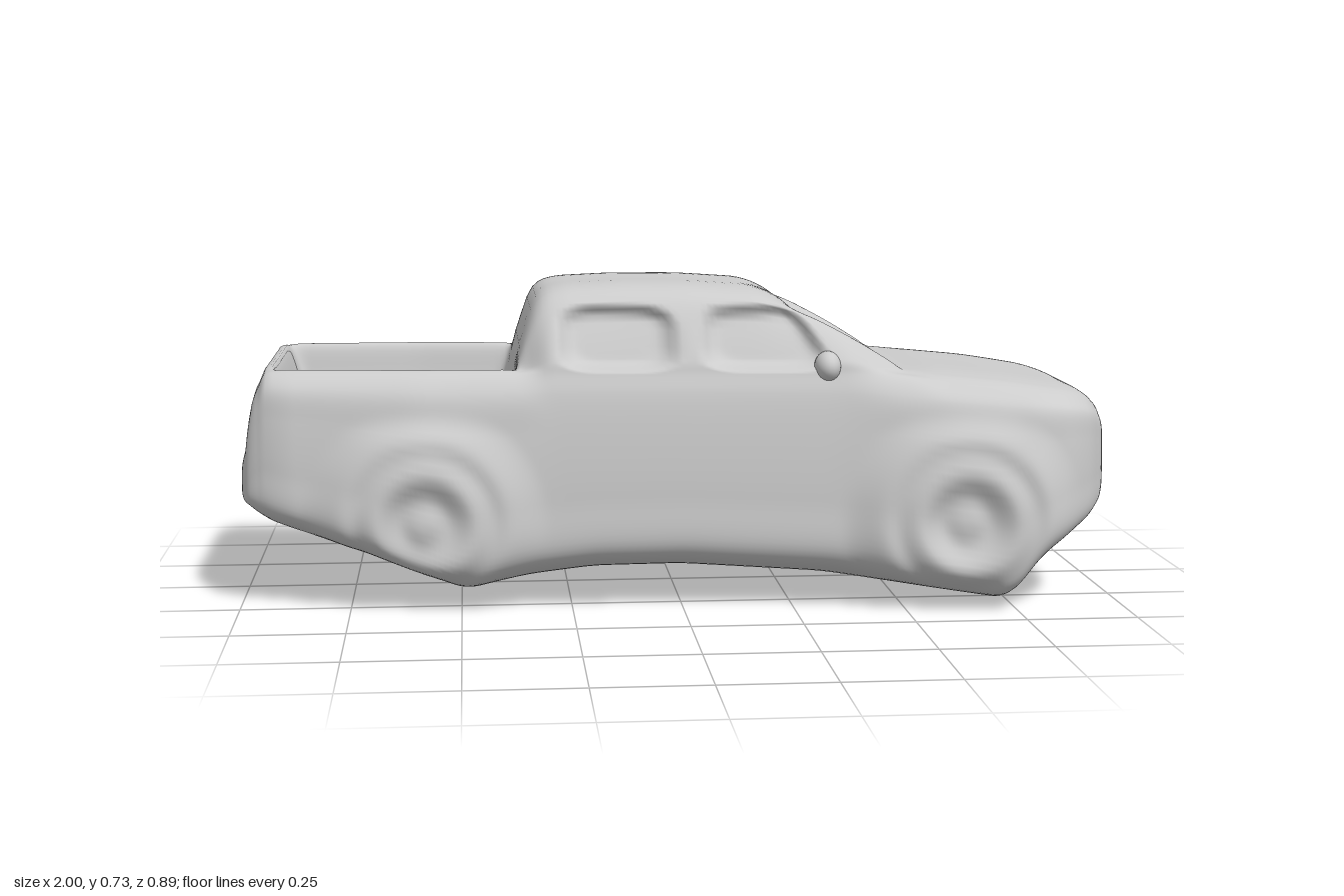
import * as THREE from 'three';

const { smoothstep, lerp } = THREE.MathUtils;
const SKEW = 0.065; // the truck sits slightly turned: z drifts with x

// Lengthwise profile through a few [x, value] points, with softened corners
function profile(points) {
  const linear = x => {
    const k = points.findIndex(p => p[0] >= x);
    if (k < 0) return points[points.length - 1][1];
    if (k === 0) return points[0][1];
    const [x0, v0] = points[k - 1], [x1, v1] = points[k];
    return lerp(v0, v1, (x - x0) / (x1 - x0));
  };
  return x => {
    const r = Math.min(0.03, 0.6 * (1 - Math.abs(x)));
    let sum = 0;
    for (let i = -4; i <= 4; i++) sum += linear(x + r * i / 4);
    return sum / 9;
  };
}

const bottom = profile([[-1, 0.27], [-0.995, 0.235], [-0.95, 0.185], [-0.7, 0.1], [-0.49, 0.018],
  [-0.35, 0.05], [-0.2, 0.07], [0, 0.075], [0.32, 0.055], [0.74, -0.008], [0.8, 0.09],
  [0.95, 0.185], [0.985, 0.225], [1, 0.3]]);
const belt = profile([[-1, 0.27], [-0.995, 0.32], [-0.975, 0.38], [-0.968, 0.5], [-0.95, 0.53],
  [0.4, 0.53], [0.73, 0.5], [0.88, 0.477], [0.95, 0.45], [0.975, 0.42], [0.99, 0.37], [1, 0.3]]);
const halfWidth = profile([[-1, 0], [-0.998, 0.22], [-0.99, 0.275], [-0.97, 0.31], [-0.9, 0.342],
  [-0.6, 0.365], [-0.3, 0.35], [0.35, 0.35], [0.6, 0.365], [0.8, 0.365], [0.88, 0.34],
  [0.95, 0.267], [0.985, 0.175], [0.997, 0.09], [1, 0]]);
// Cab roof along its edge, and along the middle where the windscreen is hollow
const roofEdge = profile([[-1, 0], [-0.38, 0.5], [-0.35, 0.61], [-0.325, 0.655], [-0.28, 0.675],
  [0, 0.685], [0.18, 0.68], [0.3, 0.65], [0.4, 0.597], [0.5, 0.535], [1, 0]]);
const roofCentre = profile([[-1, 0], [-0.375, 0.5], [-0.355, 0.64], [-0.33, 0.695], [-0.28, 0.715],
  [-0.14, 0.722], [0.02, 0.722], [0.18, 0.712], [0.25, 0.68], [0.32, 0.595], [0.4, 0.53], [1, 0]]);

// Closed smooth section at x: belly, side, shoulder, then roof, bonnet or bed floor
function section(x) {
  const yb = bottom(x), b = belt(x), w = halfWidth(x), h = b - yb;
  const cab = smoothstep(x, -0.37, -0.29) * (1 - smoothstep(x, 0.35, 0.52));
  const bed = smoothstep(x, -0.925, -0.865) * (1 - smoothstep(x, -0.41, -0.365));
  const bonnet = smoothstep(x, 0.5, 0.6);
  const deck = b + 0.01 * smoothstep(1 - Math.abs(x), 0, 0.03);
  const upperY = Math.max(deck, roofEdge(x)) - 0.11 * bed;
  const centreY = Math.max(deck, roofCentre(x)) + 0.006 * bonnet * smoothstep(1 - x, 0, 0.1) - 0.14 * bed;
  const shoulderZ = w * (0.76 + 0.12 * cab), upperZ = w * 0.68;
  const half = [
    [0, yb], [0.78 * w, yb + 0.04 * h], [0.98 * w, yb + 0.14 * h],
    [w, yb + 0.4 * h], [0.98 * w, yb + 0.72 * h], [0.945 * w, yb + 0.91 * h],
    [(0.93 * w + shoulderZ) / 2, b - 0.02 * h * bonnet],
    [shoulderZ, (b + deck) / 2 + 0.025 * cab],
    [upperZ, upperY], [0.75 * upperZ, lerp(centreY, upperY, 0.15)], [0, centreY],
  ].map(([z, y]) => new THREE.Vector3(x, y, z));
  const mirrored = half.slice(1, -1).reverse().map(p => new THREE.Vector3(x, p.y, -p.z));
  return new THREE.CatmullRomCurve3([...half, ...mirrored], true);
}

const WHEELS = [-0.58, 0.63];
const WINDOWS = [[-0.145, 0.135], [0.185, 0.145]]; // centre x, half length

// Side relief: flared arches, tyres, sunken hubs and window panes
function relief(p) {
  const side = Math.sign(p.z), a = Math.abs(p.z);
  let d = 0;
  for (const cx of WHEELS) {
    const r = Math.hypot(p.x - cx, p.y - 0.2);
    d += 0.036 * (1 - smoothstep(r, 0.15, 0.28));
    d -= 0.012 * Math.exp(-(((r - 0.155) / 0.025) ** 2));
    d -= 0.03 * (1 - smoothstep(r, 0.05, 0.115));
    d += 0.008 * (1 - smoothstep(r, 0.01, 0.05));
  }
  d *= smoothstep(a, 0.24, 0.32) * (1 - smoothstep(p.y, 0.38, 0.46));
  for (const [cx, half] of WINDOWS) {
    // rounded pane, shortened at the top behind the sloping pillar
    const slope = cx > 0 && p.x > cx ? (p.y - 0.57) * 0.7 : 0;
    const m = (Math.abs(p.x - cx) / (half - slope)) ** 4 + (Math.abs(p.y - 0.605) / 0.07) ** 4;
    d -= 0.04 * (1 - smoothstep(m, 0.15, 1.1)) * smoothstep(a, 0.2, 0.24);
  }
  p.z += side * d;
}

// Smooth skin lofted from tail to nose, with rows gathered at the ends
function bodyGeometry() {
  const NU = 220, NV = 160, positions = [], index = [];
  for (let i = 0; i <= NU; i++) {
    const x = Math.sin(Math.PI * (i / NU - 0.5));
    const loop = section(x);
    for (let j = 0; j < NV; j++) {
      const p = loop.getPoint(j / NV);
      relief(p);
      positions.push(p.x, p.y, p.z + SKEW * x);
      if (i === NU) continue;
      const a = i * NV + j, d = i * NV + (j + 1) % NV;
      index.push(a, a + NV, d, a + NV, d + NV, d);
    }
  }
  const g = new THREE.BufferGeometry();
  g.setAttribute('position', new THREE.Float32BufferAttribute(positions, 3));
  g.setIndex(index);
  g.computeVertexNormals();
  return g;
}

export function createModel() {
  const group = new THREE.Group();
  group.name = 'pickupTruck';
  const material = new THREE.MeshStandardMaterial({ color: 0xcccccc });

  const body = new THREE.Mesh(bodyGeometry(), material);
  body.name = 'body';
  group.add(body);

  // single door mirror
  const mirror = new THREE.Mesh(new THREE.SphereGeometry(1, 20, 14), material);
  mirror.name = 'doorMirror';
  mirror.scale.set(0.03, 0.035, 0.045);
  mirror.position.set(0.325, 0.545, 0.318);
  group.add(mirror);

  return group;
}
